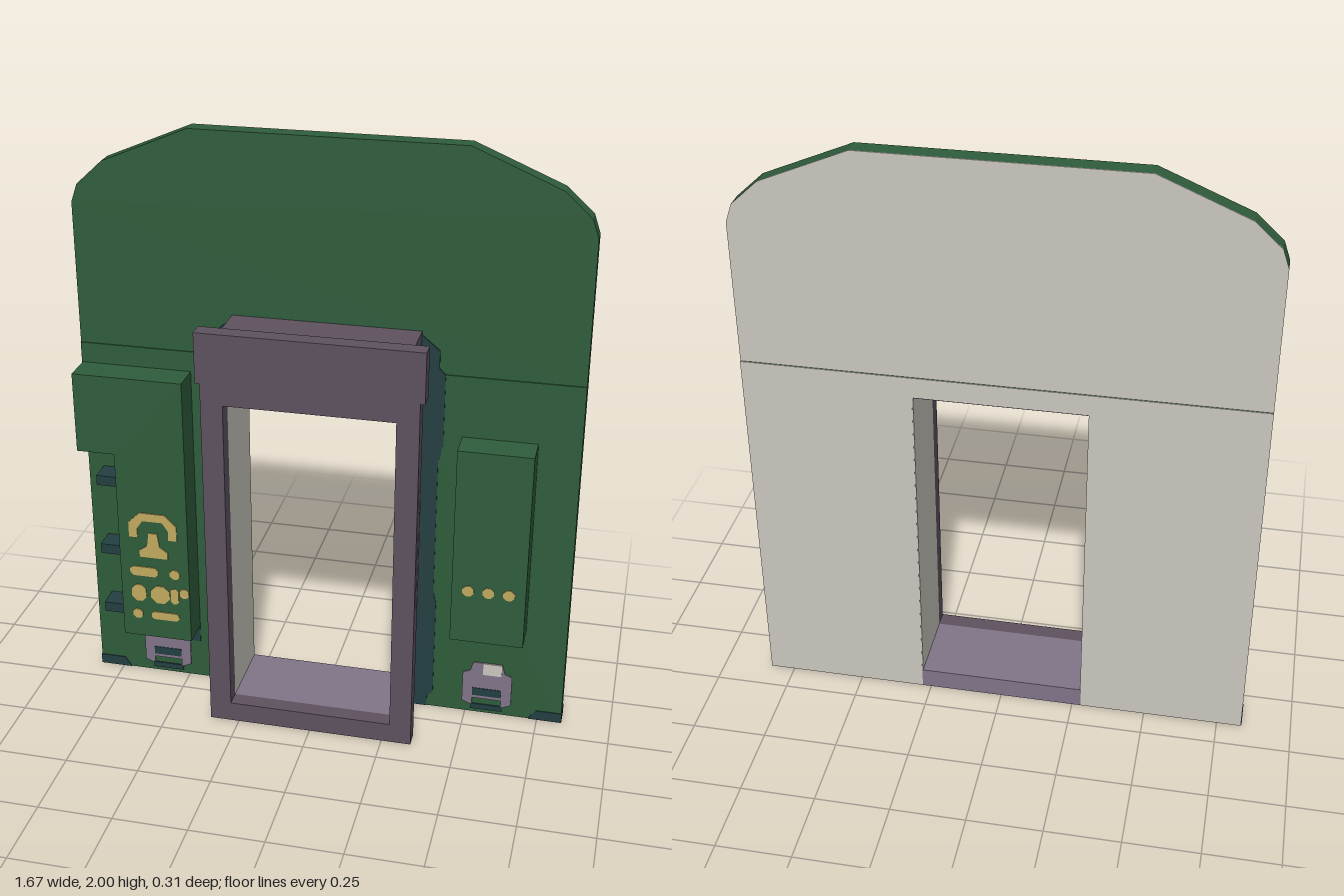
import * as THREE from 'three';

const mat = (name, color) => {
  const m = new THREE.MeshStandardMaterial({ color });
  m.name = name;
  return m;
};

export function createModel() {
  const green = mat('green wall', 0x2f5d3c);
  const purple = mat('dark purple frame', 0x5e5260);
  const mauve = mat('light mauve', 0x82758a);
  const beige = mat('pale plaster', 0xcac8be);
  const teal = mat('dark teal', 0x243f42);
  const gold = mat('gold', 0xc2ab60);
  const model = new THREE.Group();

  // Box given by its limits on each axis
  const box = (name, m, x0, x1, y0, y1, z0, z1, parent = model) => {
    const mesh = new THREE.Mesh(new THREE.BoxGeometry(x1 - x0, y1 - y0, z1 - z0), m);
    mesh.position.set((x0 + x1) / 2, (y0 + y1) / 2, (z0 + z1) / 2);
    mesh.name = name;
    parent.add(mesh);
    return mesh;
  };
  // Outline extruded from z0 to z1
  const slab = (name, m, pts, z0, z1, parent = model) => {
    const shape = new THREE.Shape(pts.map(([x, y]) => new THREE.Vector2(x, y)));
    const mesh = new THREE.Mesh(
      new THREE.ExtrudeGeometry(shape, { depth: z1 - z0, bevelEnabled: false }), m);
    mesh.position.z = z0;
    mesh.name = name;
    parent.add(mesh);
    return mesh;
  };
  const mirrored = (half) => [...half, ...half.map(([x, y]) => [-x, y]).reverse()];

  // Wall: lower panel with doorway, upper panel with chamfered crown, pale backs
  const lower = mirrored([[0.28, 1.19], [0.28, 0], [0.833, 0], [0.833, 1.26]]);
  const upper = mirrored([[0.833, 1.26], [0.833, 1.74], [0.812, 1.8], [0.725, 1.88], [0.44, 2]]);
  slab('lowerWall', green, lower, -0.152, -0.086);
  slab('lowerWallBack', beige, lower, -0.155, -0.152);
  slab('upperWall', green, upper, -0.147, -0.09);
  slab('upperWallBack', beige, upper, -0.15, -0.147);

  // Door surround
  const door = new THREE.Group();
  door.name = 'doorFrame';
  model.add(door);
  for (const s of [-1, 1]) {
    const side = (name, m, a, b, ...rest) =>
      box(name, m, Math.min(s * a, s * b), Math.max(s * a, s * b), ...rest, door);
    side('tunnelSide', purple, 0.28, 0.31, 0, 1.19, -0.09, 0.1);
    side('tunnelLining', beige, 0.277, 0.28, 0.07, 1.19, -0.154, 0.1);
    side('framePost', purple, 0.277, 0.35, 0, 1.26, 0.1, 0.155);
    // Worn patches on the outer sides
    for (const [y0, y1] of [[0.31, 0.41], [0.5, 0.97], [1.07, 1.16]])
      side('wornPatch', mauve, 0.309, 0.312, y0, y1, 0.025, 0.055);
    for (const [y0, y1] of [[0.52, 0.82], [0.87, 0.95]])
      side('wornPatch', mauve, 0.349, 0.352, y0, y1, 0.105, 0.128);
  }
  box('tunnelTop', purple, -0.31, 0.31, 1.19, 1.4, -0.09, 0.1, door);
  box('ceilingLining', beige, -0.28, 0.28, 1.187, 1.19, -0.02, 0.1, door);
  box('ceilingLiningBack', purple, -0.28, 0.28, 1.187, 1.19, -0.154, -0.02, door);
  box('doorSill', mauve, -0.28, 0.28, 0, 0.07, -0.155, 0.1, door);
  box('frameBottom', purple, -0.277, 0.277, 0, 0.07, 0.1, 0.155, door);
  box('frameHead', purple, -0.277, 0.277, 1.19, 1.26, 0.1, 0.155, door);
  box('lintel', purple, -0.365, 0.365, 1.26, 1.43, 0.1, 0.156, door);

  // Raised cabinets on the wall
  slab('leftCabinet', green, [[-0.455, 0.21], [-0.455, 1.19], [-0.83, 1.19],
    [-0.83, 0.91], [-0.7, 0.91], [-0.7, 0.21]], -0.09, 0.02);
  box('rightCabinet', green, 0.45, 0.695, 0.35, 1.05, -0.09, 0.02);
  for (const y of [0.29, 0.525, 0.79])
    box('hinge', teal, -0.78, -0.7, y - 0.018, y + 0.018, -0.09, -0.01);

  // Dark paint on the wall around doorway, cabinets and foot
  const wallZ = [-0.088, -0.083];
  for (const s of [-1, 1]) {
    const strip = [[0.31, 0], [0.365, 0], [0.365, 0.04], [0.385, 0.06], [0.385, 0.42], [0.375, 0.46],
      [0.375, 0.95], [0.39, 1.02], [0.39, 1.26], [0.37, 1.28], [0.37, 1.34], [0.31, 1.39]];
    slab('darkDoorEdge', teal, strip.map(([x, y]) => [s * x, y]), ...wallZ);
    slab('darkCorner', teal, [[s * 0.72, 0], [s * 0.834, 0], [s * 0.834, 0.036], [s * 0.745, 0.036]], ...wallZ);
    box('darkSideFoot', teal, s * 0.833 - 0.002, s * 0.833 + 0.002, 0, 0.036, -0.15, -0.084);
  }
  box('darkUnderLeftCabinet', teal, -0.695, -0.455, 0.145, 0.21, ...wallZ);
  slab('darkUnderRightCabinet', teal, [[0.47, 0.32], [0.675, 0.32], [0.695, 0.35], [0.45, 0.35]], ...wallZ);

  // Small fixtures at the foot of each cabinet
  for (const [cx, dx] of [[-0.578, -0.022], [0.573, 0.017]]) {
    const lamp = new THREE.Group();
    lamp.name = 'footLamp';
    lamp.position.x = cx;
    model.add(lamp);
    slab('lampPlate', mauve, mirrored([[0.05, 0.06], [0.05, 0.03], [0.085, 0.045],
      [0.085, 0.16], [0.06, 0.17], [0.05, 0.205]]), -0.084, -0.08, lamp);
    box('lampSlot', teal, -0.05, 0.05, 0.072, 0.102, -0.081, -0.078, lamp);
    box('lampFoot', teal, -0.055, 0.055, 0.016, 0.036, -0.084, -0.079, lamp);
    box('lampLight', beige, dx - 0.032, dx + 0.032, 0.16, 0.205, -0.081, -0.077, lamp);
  }

  // Gold ornaments: flat octagons given by centre and half sizes
  const plate = (cx, cy, w, h) => {
    const c = Math.min(w, h) * 0.6;
    slab('goldOrnament', gold, mirrored([[w - c, -h], [w, -h + c], [w, h - c], [w - c, h]])
      .map(([x, y]) => [x + cx, y + cy]), 0.019, 0.024);
  };
  for (const x of [0.505, 0.572, 0.64]) plate(x, 0.545, 0.019, 0.019);
  slab('goldArch', gold, mirrored([[0.055, 0.605], [0.085, 0.605], [0.085, 0.66], [0.045, 0.7]])
    .slice(0, 8).concat([[-0.055, 0.64], [-0.035, 0.67], [0.035, 0.67], [0.055, 0.64]])
    .map(([x, y]) => [x - 0.577, y]), 0.019, 0.024);
  slab('goldCrest', gold, mirrored([[0.05, 0.53], [0.05, 0.555], [0.022, 0.575], [0.015, 0.625]])
    .map(([x, y]) => [x - 0.577, y]), 0.019, 0.024);
  for (const p of [[-0.615, 0.472, 0.05, 0.018], [-0.505, 0.472, 0.018, 0.018],
    [-0.637, 0.385, 0.026, 0.032], [-0.56, 0.385, 0.034, 0.034], [-0.508, 0.385, 0.014, 0.03],
    [-0.473, 0.4, 0.016, 0.018], [-0.645, 0.3, 0.018, 0.018], [-0.545, 0.3, 0.05, 0.015]])
    plate(...p);

  return model;
}
